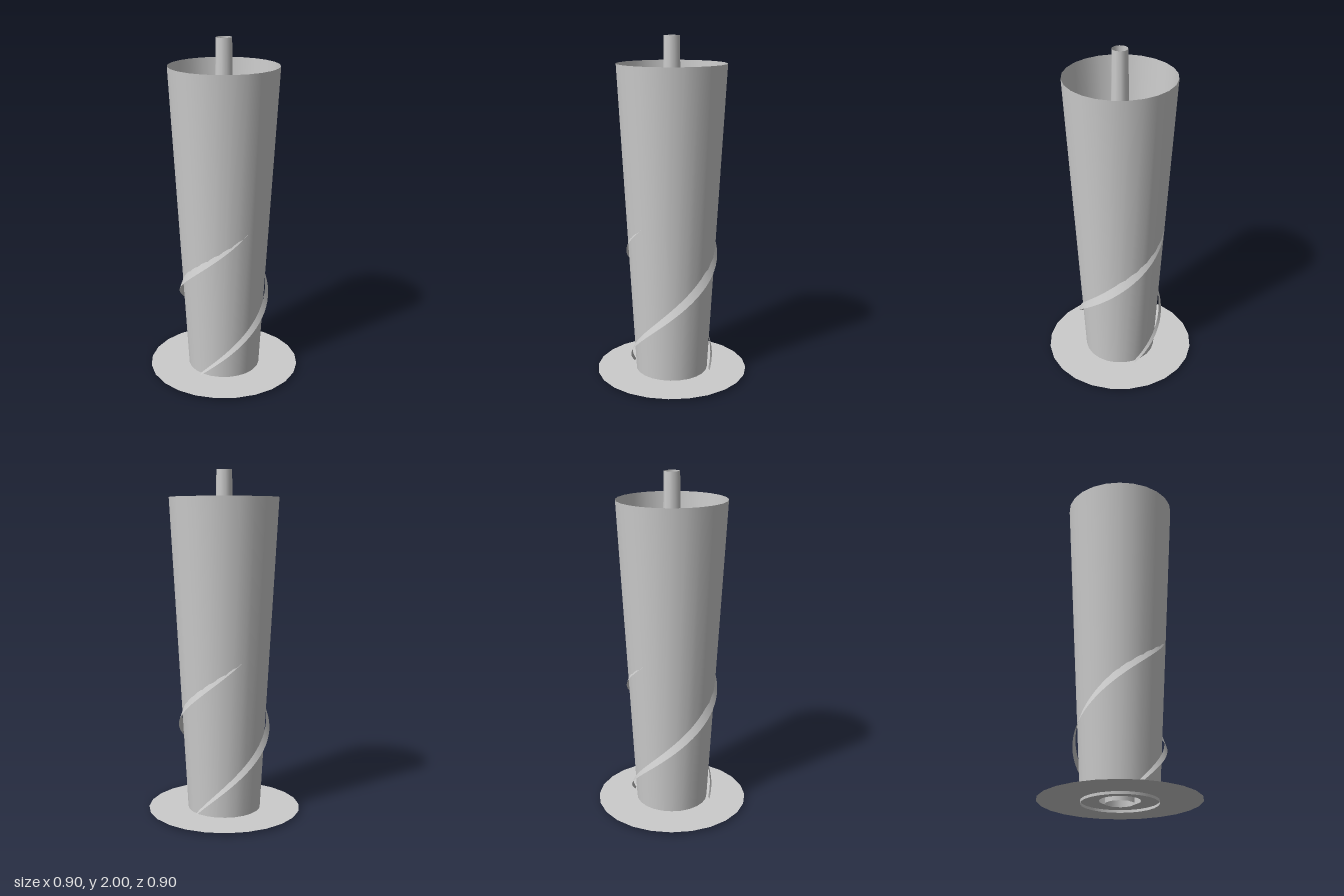
import * as THREE from 'three';

const grey = new THREE.MeshStandardMaterial({ color: 0xcccccc, side: THREE.DoubleSide });
grey.name = 'grey';

function addPart(parent, name, geometry, y = 0) {
  const mesh = new THREE.Mesh(geometry, grey);
  mesh.name = name;
  mesh.position.y = y;
  parent.add(mesh);
  return mesh;
}

// Tapered ribbon climbing 1.2 turns, bulging outward near the middle of its lower half
function spiralRibbon(segments = 72) {
  const positions = [];
  const index = [];
  for (let i = 0; i <= segments; i++) {
    const t = i / segments;
    const angle = t * Math.PI * 2.4;
    const y = 0.015 + 1.6 * t;
    const swell = Math.sin(Math.PI * t);
    const outer = 0.27 - 0.078 * (y - 0.64) ** 2;
    const inner = outer - 0.008 - 0.015 * swell;
    const rise = 0.015 + 0.052 * swell;
    for (const [r, h] of [[outer, y], [inner, y + rise]]) {
      positions.push(-Math.cos(angle) * r, h, Math.sin(angle) * r);
    }
    if (i < segments) {
      const a = i * 2;
      index.push(a, a + 2, a + 1, a + 1, a + 2, a + 3);
    }
  }
  const geometry = new THREE.BufferGeometry();
  geometry.setAttribute('position', new THREE.Float32BufferAttribute(positions, 3));
  geometry.setIndex(index);
  geometry.computeVertexNormals();
  return geometry;
}

export function createModel() {
  const model = new THREE.Group();
  model.name = 'spiralTube';

  // Flared outer wall, open at both ends
  addPart(model, 'outerTube', new THREE.CylinderGeometry(0.316, 0.214, 1.845, 24, 1, true), 0.9225);

  // Slim tapered core pipe
  addPart(model, 'corePipe', new THREE.CylinderGeometry(0.045, 0.082, 2, 10, 1, true), 1);

  // Flat base plate with a central hole
  const plate = new THREE.RingGeometry(0.113, 0.45, 24).rotateX(-Math.PI / 2);
  addPart(model, 'basePlate', plate, 0.015);

  // Two opposite spiral ribbons
  const ribbon = spiralRibbon();
  for (let i = 0; i < 2; i++) {
    addPart(model, `spiralRibbon${i + 1}`, ribbon).rotation.y = i * Math.PI;
  }

  return model;
}
